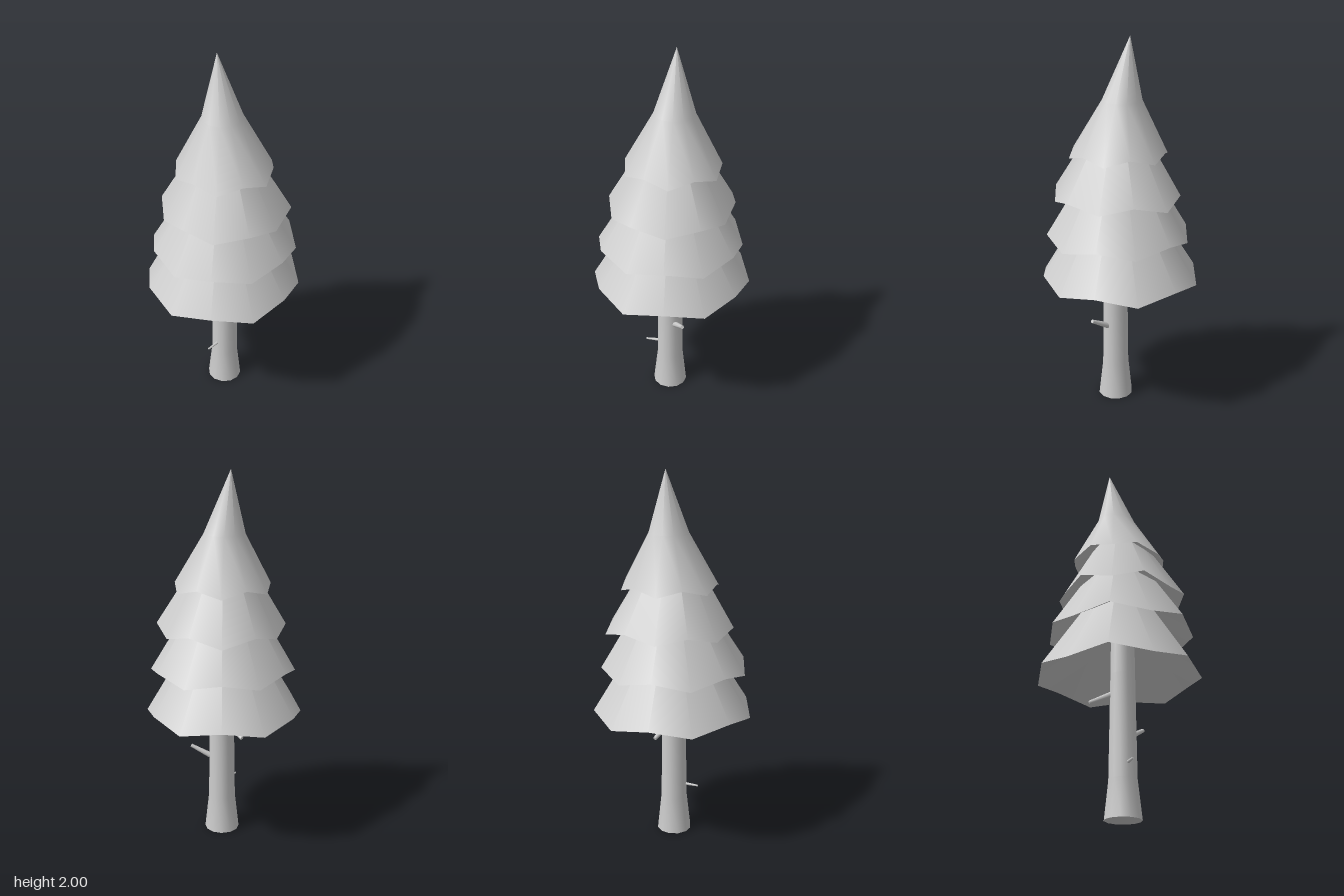
import * as THREE from 'three';

const SIDES = 12;
const material = new THREE.MeshStandardMaterial({ color: 0xcccccc, side: THREE.DoubleSide });

// Smooth skin through closed rings listed from bottom to top
function loft(rings) {
  const positions = [], index = [];
  rings.forEach((ring, r) => {
    for (let i = 0; i < SIDES; i++) {
      const a = (i / SIDES) * Math.PI * 2;
      const [radius, y] = ring.at(i);
      positions.push(ring.x + Math.cos(a) * radius, y, ring.z + Math.sin(a) * radius);
      if (r === 0) continue;
      const j = (i + 1) % SIDES, low = (r - 1) * SIDES, high = r * SIDES;
      index.push(low + i, high + i, high + j, low + i, high + j, low + j);
    }
  });
  const geometry = new THREE.BufferGeometry();
  geometry.setAttribute('position', new THREE.Float32BufferAttribute(positions, 3));
  geometry.setIndex(index);
  geometry.computeVertexNormals();
  return geometry;
}

const circle = (x, y, z, radius) => ({ x, z, at: () => [radius, y] });

// Zigzag rim: corners alternate between two heights, radii repeat around it
const rim = (x, z, evenY, oddY, radii) => ({
  x, z, at: (i) => [radii[i % radii.length], i % 2 ? oddY : evenY],
});

function add(group, name, geometry) {
  const mesh = new THREE.Mesh(geometry, material);
  mesh.name = name;
  group.add(mesh);
  return mesh;
}

export function createModel() {
  const tree = new THREE.Group();
  tree.name = 'pineTree';

  // Trunk with a flared foot, closed underneath
  add(tree, 'trunk', loft([
    circle(0.01, 0, 0.015, 0.095),
    circle(0.01, 0.2, 0.014, 0.073),
    circle(0.01, 0.75, 0.014, 0.065),
    circle(0.01, 1.2, 0.014, 0.06),
  ]));
  const base = add(tree, 'trunkBase', new THREE.CircleGeometry(0.095, SIDES));
  base.rotation.x = Math.PI / 2;
  base.position.set(0.01, 0, 0.015);

  // Foliage tiers with uneven rims, and a crown with a leaning tip;
  // each has a hollow underside rising to the height "hollow"
  const tiers = [
    { rim: rim(0, 0, 0.716, 0.754,
        [0.416, 0.411, 0.427, 0.423, 0.431, 0.424, 0.418, 0.424, 0.431, 0.428, 0.426, 0.414]),
      upper: [circle(0, 1.41, 0, 0.005)], hollow: 0.99 },
    { rim: rim(0, 0, 0.949, 0.989,
        [0.39, 0.387, 0.39, 0.401, 0.396, 0.387, 0.382, 0.374, 0.376, 0.382, 0.38, 0.388]),
      upper: [circle(0, 1.59, 0, 0.005)], hollow: 1.2 },
    { rim: rim(0, 0, 1.206, 1.166,
        [0.353, 0.339, 0.352, 0.335, 0.33, 0.325, 0.326, 0.316, 0.332, 0.356, 0.332, 0.331]),
      upper: [circle(0, 1.745, 0, 0.005)], hollow: 1.39 },
    { rim: rim(0.005, -0.007, 1.427, 1.394, [0.248, 0.262]),
      upper: [circle(-0.005, 1.68, -0.019, 0.107), circle(-0.037, 2, -0.043, 0.0005)], hollow: 1.56 },
  ];
  tiers.forEach((tier, i) => {
    add(tree, `foliageTier${i + 1}`, loft([tier.rim, ...tier.upper]));
    add(tree, `foliageUnderside${i + 1}`, loft([tier.rim, circle(0, tier.hollow, 0, 0.005)]));
  });

  // Broken twigs on the trunk: start, end, base radius, tip radius
  const twigs = [
    [[0.05, 0.425, 0.012], [0.18, 0.495, 0.017], 0.018, 0.01],
    [[-0.02, 0.65, -0.02], [-0.1, 0.599, -0.12], 0.017, 0.01],
    [[-0.015, 0.274, 0.06], [-0.065, 0.273, 0.132], 0.009, 0.005],
  ];
  twigs.forEach(([start, end, r0, r1], i) => {
    const a = new THREE.Vector3(...start), b = new THREE.Vector3(...end);
    const dir = b.clone().sub(a);
    const twig = add(tree, `twig${i + 1}`, new THREE.CylinderGeometry(r1, r0, dir.length(), 8));
    twig.position.copy(a).add(b).multiplyScalar(0.5);
    twig.quaternion.setFromUnitVectors(new THREE.Vector3(0, 1, 0), dir.normalize());
  });

  return tree;
}
